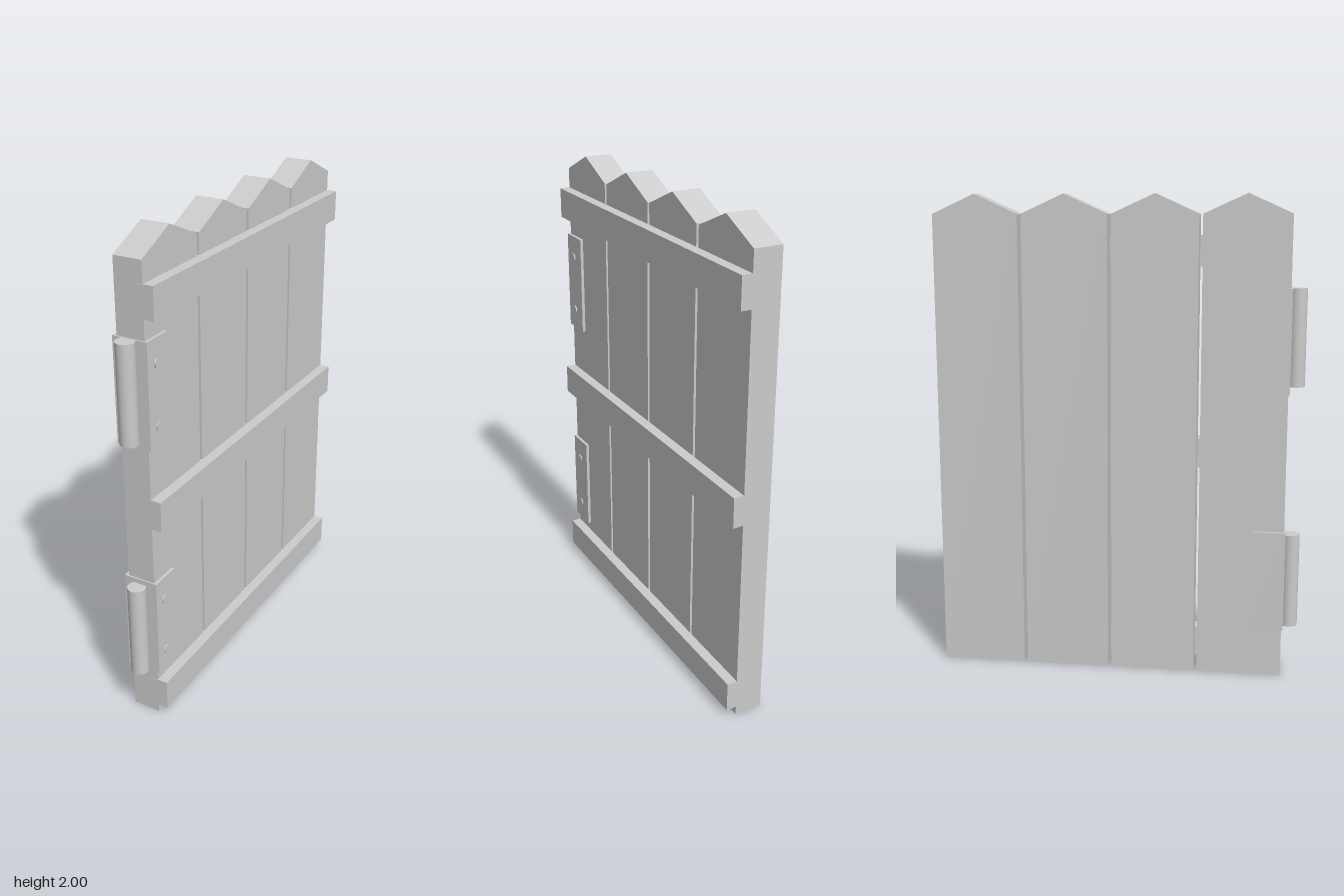
import * as THREE from 'three';

const material = new THREE.MeshStandardMaterial({ color: 0xcccccc });

function add(parent, name, geometry, x = 0, y = 0, z = 0) {
  const mesh = new THREE.Mesh(geometry, material);
  mesh.name = name;
  mesh.position.set(x, y, z);
  parent.add(mesh);
  return mesh;
}

// box given by its min and max corners
function addBox(parent, name, [x0, y0, z0], [x1, y1, z1]) {
  return add(parent, name, new THREE.BoxGeometry(x1 - x0, y1 - y0, z1 - z0),
    (x0 + x1) / 2, (y0 + y1) / 2, (z0 + z1) / 2);
}

export function createModel() {
  const gate = new THREE.Group();
  gate.name = 'plankGate';

  // four upright planks with pointed tops
  const width = 0.353, pitch = 0.3683, back = -0.762;
  const outline = new THREE.Shape([
    [0, 0], [width, 0], [width, 1.92], [width / 2, 2], [0, 1.92],
  ].map(([u, v]) => new THREE.Vector2(u, v)));
  const plankGeometry = new THREE.ExtrudeGeometry(outline, { depth: 0.117, bevelEnabled: false });
  plankGeometry.rotateY(-Math.PI / 2); // outline runs along +z, thickness along -x
  for (let i = 0; i < 4; i++) {
    add(gate, 'plank', plankGeometry, 0.042, 0, back + i * pitch);
  }

  // three cross battens, let into the planks
  for (const y of [0.037, 0.873, 1.71]) {
    addBox(gate, 'batten', [0.015, y, -0.762], [0.085, y + 0.126, 0.697]);
  }

  // two hinges: wrapped plate, pin barrel and two screws
  for (const [y, pinY] of [[0.205, 0.213], [1.205, 1.232]]) {
    const hinge = new THREE.Group();
    hinge.name = 'hinge';
    addBox(hinge, 'hingePlate', [-0.09, y, 0.571], [0.055, y + 0.425, 0.702]);
    add(hinge, 'hingePin', new THREE.CylinderGeometry(0.037, 0.037, 0.397, 32),
      -0.02, pinY + 0.1985, 0.725);
    for (const dy of [0.085, 0.328]) {
      const screw = add(hinge, 'screw', new THREE.CylinderGeometry(0.018, 0.018, 0.02, 20),
        0.05, y + dy, 0.644);
      screw.rotation.z = Math.PI / 2;
    }
    gate.add(hinge);
  }
  return gate;
}
